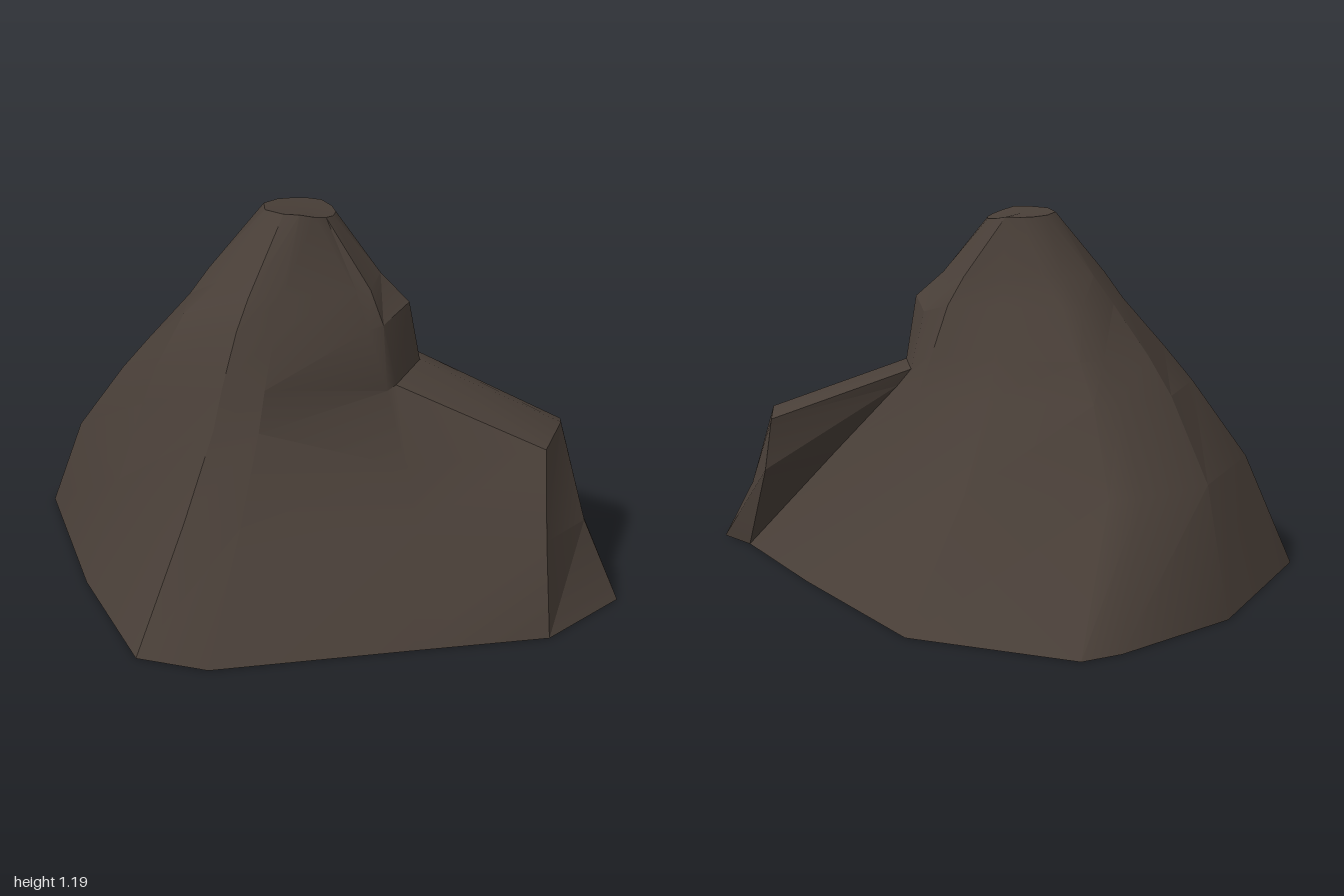
import * as THREE from 'three';
import { toCreasedNormals } from 'three/addons/utils/BufferGeometryUtils.js';

// Point on the tilted summit rim, angle in degrees
function rimPoint(deg) {
  const a = THREE.MathUtils.degToRad(deg);
  const x = -0.08 + 0.115 * Math.cos(a);
  const z = 0.14 + 0.125 * Math.sin(a);
  return [x, 1.175 + 0.1 * (z - 0.14) - 0.25 * Math.max(0, x + 0.04), z];
}

// Heights of the rings between foot and rim
const heights = [0.35, 0.6, 0.72, 0.88, 0.97];

// Slope column: foot position, rim angle, how far out it lies at each height,
// and how many degrees it swings round on the way up
function slope(x, z, deg, spread, twist) {
  const rim = rimPoint(deg);
  const dx = x - rim[0];
  const dz = z - rim[2];
  const middle = spread.map((f, i) => {
    const a = THREE.MathUtils.degToRad(-twist * (1 - f));
    const c = Math.cos(a) * f;
    const s = Math.sin(a) * f;
    return [rim[0] + dx * c - dz * s, heights[i], rim[2] + dx * s + dz * c];
  });
  return [[x, 0, z], ...middle, rim];
}

// Mesh from a list of triangles
function surface(triangles, material, name) {
  const geometry = new THREE.BufferGeometry();
  geometry.setAttribute('position', new THREE.Float32BufferAttribute(triangles.flat(2), 3));
  geometry.computeVertexNormals();
  const mesh = new THREE.Mesh(toCreasedNormals(geometry, 0.45), material);
  mesh.name = name;
  return mesh;
}

export function createModel() {
  const group = new THREE.Group();
  group.name = 'rockyMountain';
  const rock = new THREE.MeshStandardMaterial({ color: 0x483e37, side: THREE.DoubleSide });
  rock.name = 'dark brown rock';

  // Columns run counter-clockwise seen from above.
  // Ledge: front face, front edge, middle, back edge; each foot, end face, flat top, peak
  const ledge = [
    [[0.45, 0, 0.71], [0.4, 0.3, 0.49], [0.34, 0.45, 0.4], [0.25, 0.65, 0.29],
      [0.19, 0.85, 0.3], [0.14, 0.96, 0.26], rimPoint(45)],
    [[0.83, 0, 0.53], [0.79, 0.27, 0.42], [0.75, 0.5, 0.26], [0.27, 0.66, 0.26],
      [0.23, 0.86, 0.27], [0.18, 0.96, 0.24], rimPoint(25)],
    [[1, 0, 0.25], [0.87, 0.22, 0.16], [0.765, 0.51, 0.07], [0.305, 0.68, 0.09],
      [0.277, 0.89, 0.13], [0.18, 0.975, 0.12], rimPoint(5)],
    [[0.88, 0, 0.14], [0.78, 0.3, 0], [0.75, 0.48, -0.02], [0.27, 0.66, -0.02],
      [0.23, 0.85, 0.01], [0.14, 0.96, 0.04], rimPoint(-20)],
  ];
  // Seam where the overhanging back wall of the ledge meets the slope
  const [foot, , , ...upper] = ledge[3];
  const seam = [foot, [0.556, 0.35, 0.065], [0.32, 0.6, -0.005], ...upper];

  const slopes = [
    // Back
    slope(0.57, -0.3, -45, [0.62, 0.43, 0.36, 0.27, 0.18], 12),
    slope(0.15, -0.84, -70, [0.6, 0.34, 0.25, 0.14, 0.07], 14),
    slope(-0.37, -0.99, -95, [0.6, 0.4, 0.3, 0.19, 0.1], 40),
    slope(-0.48, -0.91, -115, [0.64, 0.42, 0.32, 0.21, 0.12], 45),
    // Right flank
    slope(-0.78, -0.55, -145, [0.74, 0.52, 0.41, 0.26, 0.18], 50),
    slope(-1, 0.13, -180, [0.81, 0.59, 0.47, 0.3, 0.22], 32),
    slope(-0.66, 0.62, -225, [0.8, 0.66, 0.58, 0.43, 0.25], 0),
    // Front ridge
    slope(-0.34, 0.98, -265, [0.68, 0.48, 0.42, 0.32, 0.24], 0),
    slope(-0.11, 0.98, -290, [0.66, 0.46, 0.39, 0.28, 0.2], 0),
  ];

  const columns = [...ledge, seam, ...slopes];
  const sides = [];
  const cap = [];
  columns.forEach((a, i) => {
    const b = columns[(i + 1) % columns.length];
    for (let r = 0; r < a.length - 1; r++) {
      sides.push([a[r], b[r], b[r + 1]], [a[r], b[r + 1], a[r + 1]]);
    }
    cap.push([[-0.08, 1.17, 0.14], a[a.length - 1], b[b.length - 1]]);
  });

  group.add(surface(sides, rock, 'mountainSlopes'));
  group.add(surface(cap, rock, 'summit'));
  return group;
}
